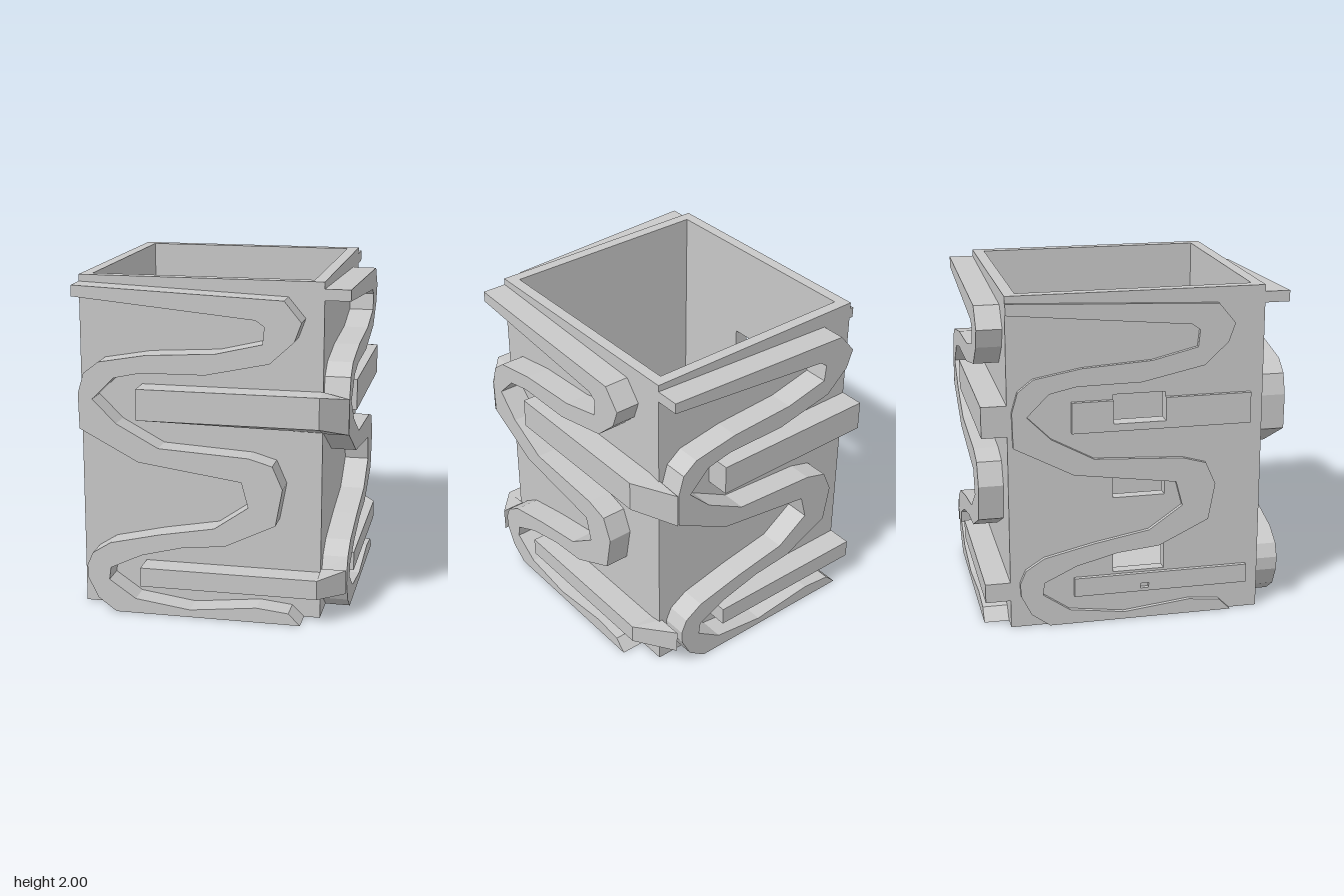
import * as THREE from 'three';
import { ConvexGeometry } from 'three/addons/geometries/ConvexGeometry.js';

const grey = new THREE.MeshStandardMaterial({ color: 0xc8c8c8 });
grey.name = 'stoneGrey';

// Body limits
const X0 = -0.78, X1 = 0.655, Z = 0.755, H = 2, WALL = 0.067;

// Outline of the winding band that decorates every side
const BAND = [
  [-0.78, 1.96], [0.45, 1.91], [0.55, 1.79], [0.51, 1.68], [0.37, 1.55], [0, 1.47], [-0.38, 1.465],
  [-0.54, 1.43], [-0.67, 1.3], [-0.53, 1.16], [-0.28, 1.025], [0.25, 0.995], [0.39, 0.955],
  [0.45, 0.82], [0.41, 0.6], [0.11, 0.455], [-0.14, 0.43], [-0.39, 0.365], [-0.58, 0.275],
  [-0.59, 0.2], [-0.43, 0.09], [-0.1, 0.045], [0.3, 0.09], [0.49, 0.07], [0.56, 0],
  [-0.55, 0], [-0.66, 0.08], [-0.72, 0.2], [-0.725, 0.28], [-0.69, 0.36], [-0.58, 0.43],
  [-0.28, 0.5], [0.05, 0.56], [0.25, 0.7], [0.21, 0.85], [-0.4, 0.935], [-0.75, 1.12],
  [-0.755, 1.33], [-0.72, 1.45], [-0.63, 1.52], [-0.35, 1.57], [0.06, 1.595], [0.33, 1.66],
  [0.34, 1.76], [0.29, 1.795], [-0.78, 1.895],
];

const outline = (pts) => pts.map(([x, y]) => new THREE.Vector2(x, y));
const rect = (x0, x1, y0, y1) => [[x0, y0], [x1, y0], [x1, y1], [x0, y1]];

function add(parent, name, geometry) {
  const mesh = new THREE.Mesh(geometry, grey);
  mesh.name = name;
  parent.add(mesh);
  return mesh;
}

// Flat plate cut from an outline, with optional holes
function plate(pts, depth, holes = []) {
  const shape = new THREE.Shape(outline(pts));
  holes.forEach((h) => shape.holes.push(new THREE.Path(outline(h))));
  return new THREE.ExtrudeGeometry(shape, { depth, bevelEnabled: false });
}

function box(parent, name, x0, x1, y0, y1, z0, z1) {
  add(parent, name, new THREE.BoxGeometry(x1 - x0, y1 - y0, z1 - z0))
    .position.set((x0 + x1) / 2, (y0 + y1) / 2, (z0 + z1) / 2);
}

const hull = (pts) => new ConvexGeometry(pts.map((p) => new THREE.Vector3(...p)));

// Straight bar; "low" is the height of its underside where it meets the wall at the far end
function bar(x0, y0, y1, depth, low) {
  return hull([
    [x0, y0, 0], [x0, y1, 0], [x0, y0, depth], [x0, y1, depth],
    [X1, low, 0], [X1, y1, 0], [X1, y0, depth], [X1, y1, depth],
  ]);
}

// Wedge that carries a bar round the corner on to the next side
function cornerWedge(y0, y1, low, start, farY0, farY1, depth) {
  const pts = [[X1, low, 0], [X1, y1, 0], [X1, y0, depth], [X1, y1, depth]];
  for (const y of [farY0, farY1]) pts.push([start, y, -0.02], [start + depth, y, -0.02]);
  return hull(pts);
}

export function createModel() {
  const model = new THREE.Group();
  model.name = 'squarePot';

  // Hollow body: floor and three plain walls
  const body = new THREE.Group();
  body.name = 'body';
  model.add(body);
  const inner0 = X0 + WALL, inner1 = X1 - WALL, innerZ = Z - WALL;
  box(body, 'floor', inner0, inner1, 0, WALL, -innerZ, innerZ);
  box(body, 'rightWall', inner1, X1, 0, H, -Z, Z);
  box(body, 'frontWall', inner0, inner1, 0, H, innerZ, Z);
  box(body, 'backWall', inner0, inner1, 0, H, -Z, -innerZ);

  // Left wall with three mounting slots
  const slots = [1.23, 0.77, 0.3].map((y) => rect(-0.14, 0.17, y, y + 0.17));
  const leftWall = add(body, 'leftWall', plate(rect(-Z, Z, 0, H), WALL, slots));
  leftWall.rotation.y = -Math.PI / 2;
  leftWall.position.x = inner0;

  // Relief on the four sides; the left one is shallow
  const sides = [
    { name: 'front', at: [0, 0, Z], turn: 0, shift: 0, depth: 0.148, low: 1.13, wedge: 0.655 },
    { name: 'right', at: [X1, 0, 0], turn: 1, shift: 0.025, depth: 0.148, low: 1.185, wedge: 0.73 },
    { name: 'back', at: [0, 0, -Z], turn: 2, shift: 0.125, depth: 0.148, low: 1.185 },
    { name: 'left', at: [X0, 0, 0], turn: 3, shift: 0.025, depth: 0.025 },
  ];
  for (const s of sides) {
    const side = new THREE.Group();
    side.name = s.name + 'Relief';
    side.position.set(...s.at);
    side.rotation.y = s.turn * Math.PI / 2;
    const art = new THREE.Group();
    art.name = s.name + 'Pattern';
    art.position.x = s.shift;
    side.add(art);
    model.add(side);

    add(art, 'windingBand', plate(BAND, s.depth));

    if (s.name === 'left') {
      // Shallow bars, notched by the top slot and a small peg hole
      const notched = [
        [-0.41, 1.185], [X1, 1.185], [X1, 1.37], [0.145, 1.37],
        [0.145, 1.23], [-0.165, 1.23], [-0.165, 1.37], [-0.41, 1.37],
      ];
      add(art, 'upperBar', plate(notched, s.depth));
      add(art, 'lowerBar', plate(rect(-0.4, X1, 0.17, 0.285), s.depth, [rect(0, 0.05, 0.19, 0.22)]));
      continue;
    }
    add(art, 'upperBar', bar(-0.41, 1.185, 1.37, s.depth, s.low));
    add(art, 'lowerBar', bar(-0.4, 0.17, 0.285, s.depth, 0.17));
    if (s.wedge) {
      add(art, 'upperCornerWedge', cornerWedge(1.185, 1.37, s.low, s.wedge, 1.12, 1.33, s.depth));
      add(art, 'lowerCornerWedge', cornerWedge(0.17, 0.285, 0.17, s.wedge, 0.155, 0.3, s.depth));
    }
  }
  return model;
}
